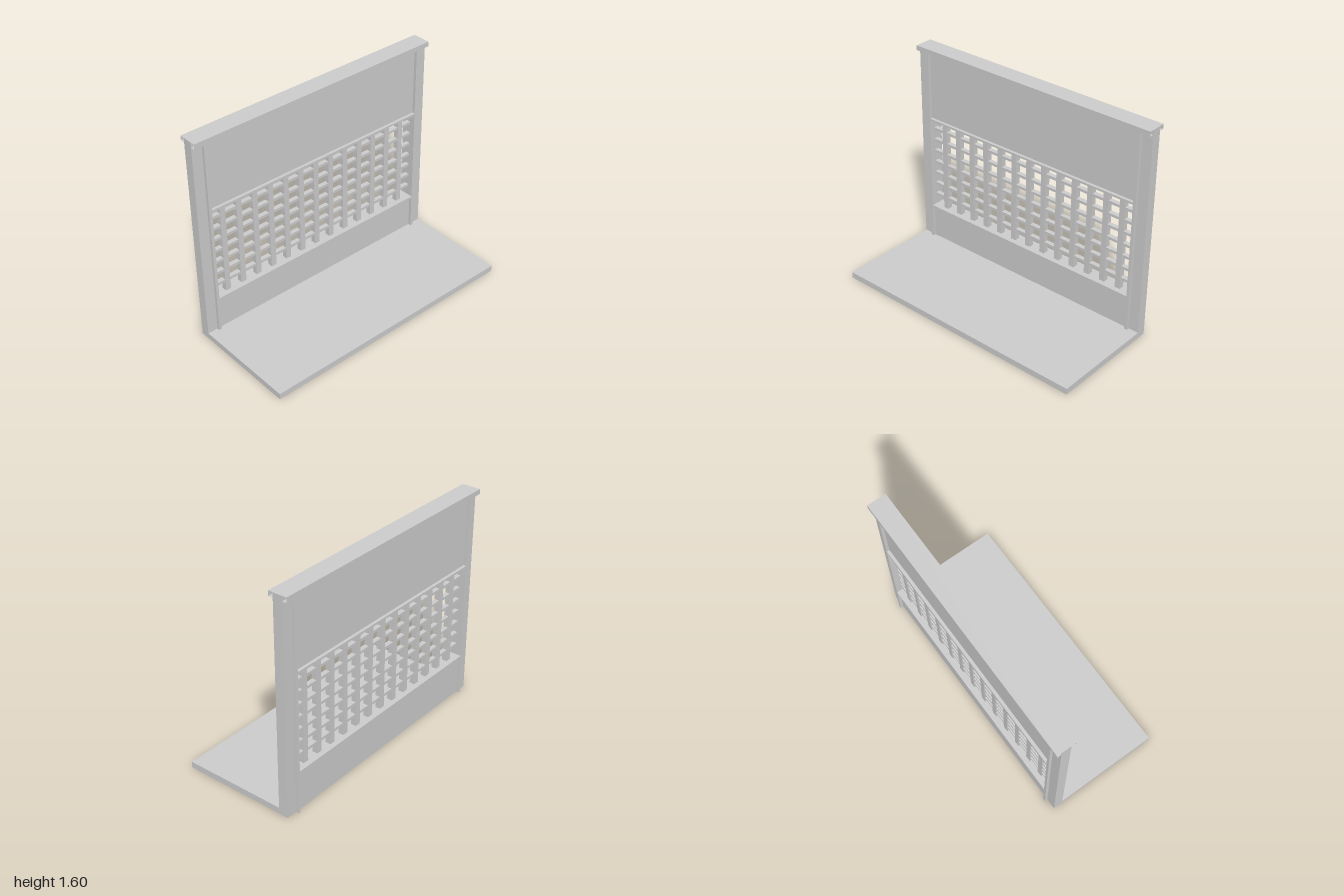
import * as THREE from 'three';

export function createModel() {
  const model = new THREE.Group();
  const material = new THREE.MeshStandardMaterial({ color: 0xcccccc, flatShading: true });

  // Box given by its limits on each axis
  function block(name, [x0, x1], [y0, y1], [z0, z1], parent = model) {
    const mesh = new THREE.Mesh(new THREE.BoxGeometry(x1 - x0, y1 - y0, z1 - z0), material);
    mesh.position.set((x0 + x1) / 2, (y0 + y1) / 2, (z0 + z1) / 2);
    mesh.name = name;
    parent.add(mesh);
    return mesh;
  }

  const wallX = -0.374, half = 0.036, trim = 0.022; // wall centre, half thickness, trim depth
  const wall = [wallX - half, wallX + half];
  const inner = 0.9, baseTop = 0.046, capBottom = 1.564;
  const span = [-inner, inner];

  // Ground slab on one side of the wall
  block('base', [wallX + half, 0.443], [0, baseTop], [-1, 1]);

  // End posts
  for (const s of [-1, 1]) {
    block('post', wall, [0, 1.599], s > 0 ? [inner, 1] : [-1, -inner]);
  }

  // Solid panels below and above the lattice
  block('lowerPanel', wall, [0, 0.317], span);
  block('upperPanel', wall, [1.034, 1.59], span);

  // Raised trim on both faces: upright strips at the posts and rails at the opening
  for (const s of [-1, 1]) {
    const face = wallX + s * half;
    const x = s > 0 ? [face, face + trim] : [face - trim, face];
    for (const t of [-1, 1]) {
      const z = t > 0 ? [inner, inner + trim] : [-inner - trim, -inner];
      block('trimStrip', x, [s > 0 ? baseTop : 0, capBottom], z);
    }
    block('lowerRail', x, [0.3, 0.317], span);
    block('upperRail', x, [1.034, 1.05], span);
  }

  // Lattice
  const lattice = new THREE.Group();
  lattice.name = 'lattice';
  model.add(lattice);
  for (let i = -6; i <= 6; i++) {
    const z = i * 0.1325;
    block('uprightSlat', [wallX - 0.02, wallX + 0.02], [0.317, 1.034], [z - 0.021, z + 0.021], lattice);
  }
  for (let i = 0; i < 7; i++) {
    const y = 0.402 + i * 0.0918;
    block('crossSlat', [wallX - 0.017, wallX + 0.017], [y - 0.01, y + 0.01], span, lattice);
  }

  // Overhanging cap, a sleeve open at both ends
  const cap = block('cap', [wallX - 0.07, wallX + 0.07], [capBottom, 1.6], [-1, 1]);
  cap.geometry.setIndex(Array.from(cap.geometry.index.array.slice(0, 24)));
  cap.geometry.clearGroups();
  cap.material = material.clone();
  cap.material.side = THREE.DoubleSide;

  return model;
}
